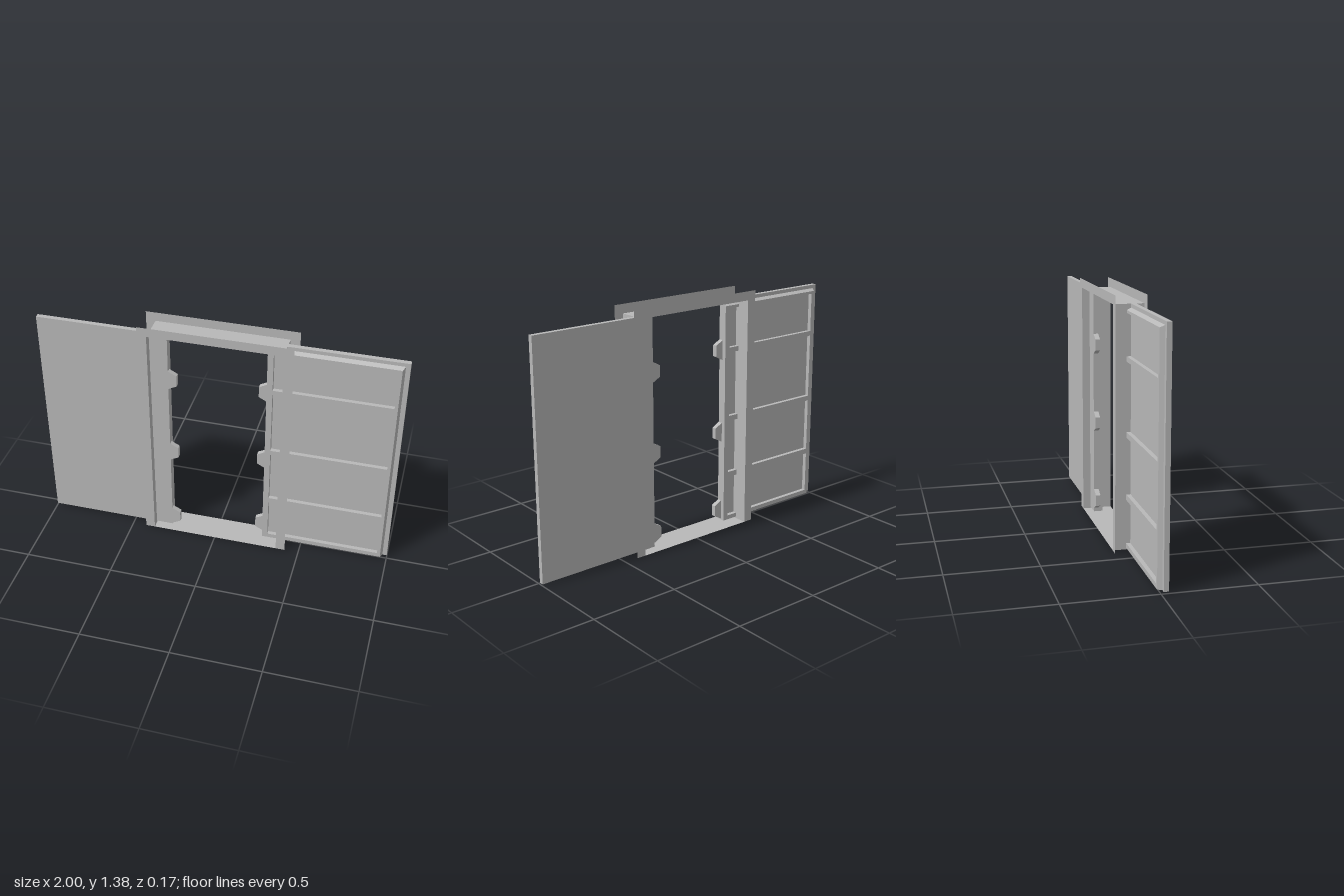
import * as THREE from 'three';

const grey = new THREE.MeshStandardMaterial({ color: 0xb8b8b8 });
grey.name = 'plainGrey';
const greySheet = new THREE.MeshStandardMaterial({ color: 0xb8b8b8, side: THREE.DoubleSide });
greySheet.name = 'plainGrey';

function add(parent, geometry, name, material = grey) {
  const mesh = new THREE.Mesh(geometry, material);
  mesh.name = name;
  parent.add(mesh);
  return mesh;
}

function polygon(points) {
  return new THREE.Shape(points.map(([x, y]) => new THREE.Vector2(x, y)));
}

function rectangle(x0, x1, y0, y1) {
  return polygon([[x0, y0], [x1, y0], [x1, y1], [x0, y1]]);
}

function extrude(shape, z0, z1) {
  const g = new THREE.ExtrudeGeometry(shape, { depth: z1 - z0, bevelEnabled: false });
  return g.translate(0, 0, z0);
}

// Sliding leaf on the +x side: flat at the back, panelled in front
function makeLeaf(name, toothHeights) {
  const leaf = new THREE.Group();
  leaf.name = name;
  const inner = 0.268, back = -0.04, mid = -0.013, front = 0.01;

  add(leaf, extrude(rectangle(inner, 1, 0.01, 1.325), back, mid), 'doorSlab');

  // Raised ribs around four sunken panels
  const ribs = rectangle(inner, 0.975, 0.01, 1.305);
  for (const [y0, y1] of [[0.035, 0.277], [0.308, 0.62], [0.65, 1.025], [1.053, 1.278]]) {
    ribs.holes.push(rectangle(0.3, 0.945, y0, y1));
  }
  const ribGeometry = extrude(ribs, mid, front);
  // Ease the outer front edges along the top and the far side
  const p = ribGeometry.attributes.position;
  for (let i = 0; i < p.count; i++) {
    if (p.getZ(i) < 0) continue;
    if (p.getX(i) > 0.97) p.setX(i, 0.963);
    if (p.getY(i) > 1.3) p.setY(i, 1.293);
  }
  ribGeometry.computeVertexNormals();
  add(leaf, ribGeometry, 'panelRibs');

  // Locking teeth on the closing edge
  for (const y of toothHeights) {
    const tooth = polygon([
      [inner, y - 0.057], [inner, y + 0.057], [0.221, y + 0.032], [0.221, y - 0.032],
    ]);
    add(leaf, extrude(tooth, back, mid), 'lockingTooth');
  }
  return leaf;
}

// Thin rectangular tunnel lining with a flat trim on both faces
function makeFrame() {
  const frame = new THREE.Group();
  frame.name = 'doorFrame';
  const half = 0.367, height = 1.325, depth = 0.167;

  for (const [y, name] of [[0, 'threshold'], [height, 'frameCeiling']]) {
    const sheet = add(frame, new THREE.PlaneGeometry(half * 2, depth), name, greySheet);
    sheet.rotation.x = -Math.PI / 2;
    sheet.position.y = y;
  }
  for (const s of [-1, 1]) {
    const jamb = add(frame, new THREE.PlaneGeometry(depth, height), 'jamb', greySheet);
    jamb.rotation.y = s * Math.PI / 2;
    jamb.position.set(s * half, height / 2, 0);

    const trim = polygon([
      [-0.42, 0], [-half, 0], [-half, height], [half, height],
      [half, 0], [0.42, 0], [0.42, 1.376], [-0.42, 1.376],
    ]);
    const face = add(frame, new THREE.ShapeGeometry(trim), 'frameTrim', greySheet);
    face.position.z = s * depth / 2;
    if (s < 0) face.rotation.y = Math.PI;
  }
  return frame;
}

export function createModel() {
  const model = new THREE.Group();
  model.name = 'slidingDoor';
  model.add(makeFrame());
  model.add(makeLeaf('leftLeaf', [0.09, 0.56, 1.015]));
  const right = makeLeaf('rightLeaf', [0.074, 0.553, 1.04]);
  right.rotation.y = Math.PI;
  model.add(right);
  return model;
}
